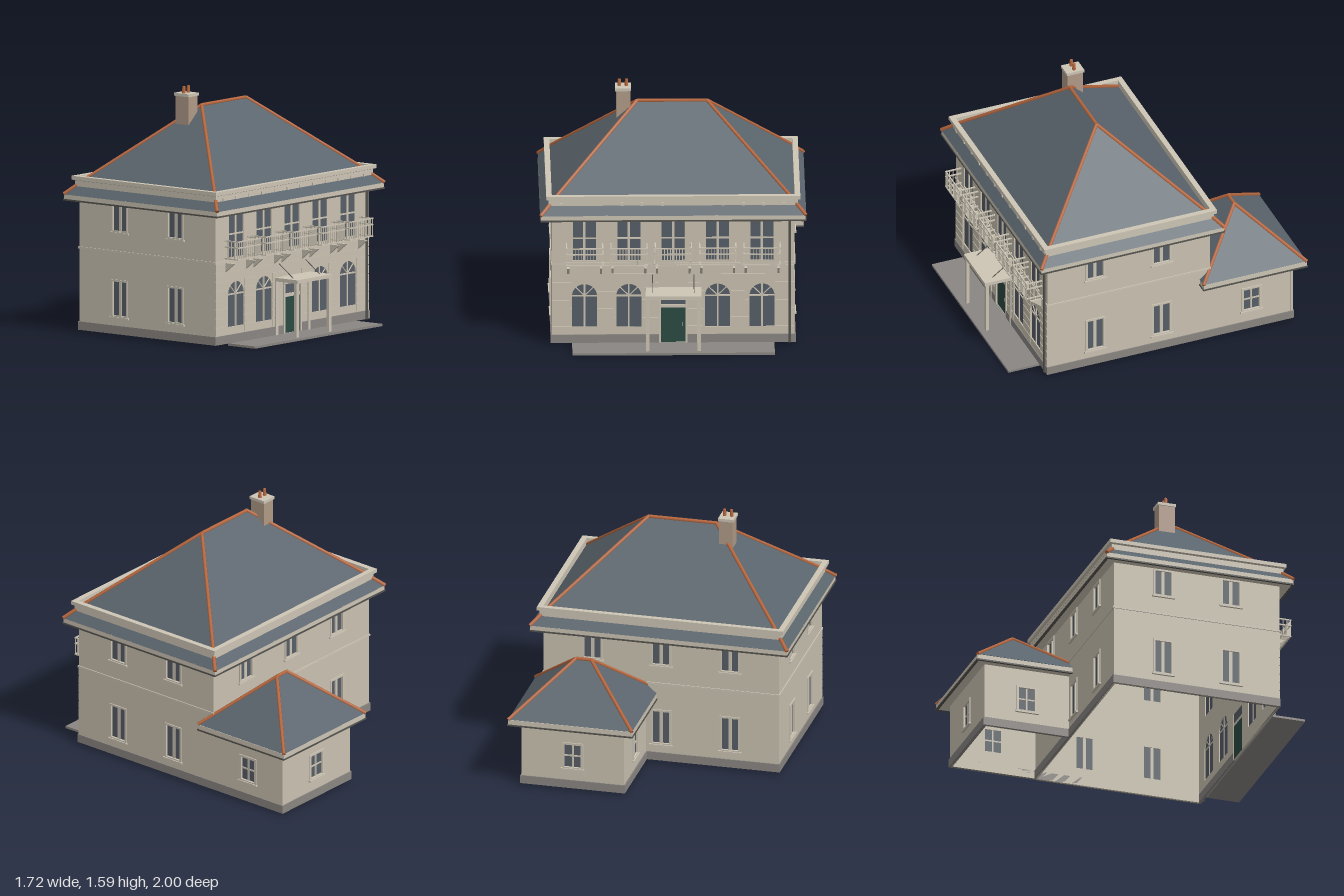
import * as THREE from 'three';

const mat = (name, color, side = THREE.FrontSide) => {
  const m = new THREE.MeshStandardMaterial({ color, side });
  m.name = name;
  return m;
};

export function createModel() {
  const wallM = mat('stucco', 0xcac2b1, THREE.DoubleSide);
  const trim = mat('cream trim', 0xcdc5b5, THREE.DoubleSide);
  const stone = mat('grey stone', 0x8a8682);
  const slate = mat('slate', 0x5b656d, THREE.DoubleSide);
  const clay = mat('terracotta', 0xb8683f);
  const glass = mat('glass', 0x575e67, THREE.DoubleSide);
  const green = mat('door green', 0x2b4a42);
  const brick = mat('chimney render', 0xb09a87);
  const metal = mat('dark metal', 0x55544f);

  const house = new THREE.Group();
  house.name = 'house';

  const add = (parent, name, geo, m, x = 0, y = 0, z = 0) => {
    const mesh = new THREE.Mesh(geo, m);
    mesh.name = name;
    mesh.position.set(x, y, z);
    parent.add(mesh);
    return mesh;
  };
  // box given by its limits
  const box = (parent, name, m, x0, x1, y0, y1, z0, z1) =>
    add(parent, name, new THREE.BoxGeometry(x1 - x0, y1 - y0, z1 - z0), m,
      (x0 + x1) / 2, (y0 + y1) / 2, (z0 + z1) / 2);
  // straight bar between two points
  const bar = (parent, name, m, a, b, r, sides = 6) => {
    const p = new THREE.Vector3(...a), q = new THREE.Vector3(...b), d = q.clone().sub(p);
    const mesh = add(parent, name, new THREE.CylinderGeometry(r, r, d.length(), sides), m);
    mesh.position.copy(p).add(q).multiplyScalar(0.5);
    mesh.quaternion.setFromUnitVectors(new THREE.Vector3(0, 1, 0), d.normalize());
  };
  const flatGeo = (pos) => {
    const g = new THREE.BufferGeometry();
    g.setAttribute('position', new THREE.Float32BufferAttribute(pos, 3));
    g.computeVertexNormals();
    return g;
  };
  // moulding: profile of [offset, y] carried round a rectangle
  const ring = (name, m, [x0, x1, z0, z1], profile) => {
    const corners = ([o, y]) => [[x0 - o, y, z1 + o], [x1 + o, y, z1 + o], [x1 + o, y, z0 - o], [x0 - o, y, z0 - o]];
    const pos = [];
    for (let i = 0; i < profile.length - 1; i++) {
      const a = corners(profile[i]), b = corners(profile[i + 1]);
      for (let k = 0; k < 4; k++) {
        const n = (k + 1) % 4;
        pos.push(...a[k], ...a[n], ...b[n], ...a[k], ...b[n], ...b[k]);
      }
    }
    add(house, name, flatGeo(pos), m);
  };
  // hipped roof with tiled ridge and hips
  const hipRoof = (name, [x0, x1, z0, z1], y, ridgeX0, ridgeX1, ridgeZ, top) => {
    const A = [x0, y, z1], B = [x1, y, z1], C = [x1, y, z0], D = [x0, y, z0];
    const P = [ridgeX0, top, ridgeZ], Q = [ridgeX1, top, ridgeZ];
    add(house, name, flatGeo([A, B, Q, A, Q, P, B, C, Q, C, D, P, C, P, Q, D, A, P].flat()), slate);
    for (const [a, b] of [[A, P], [D, P], [B, Q], [C, Q], [P, Q]]) bar(house, name + 'HipTile', clay, a, b, 0.012);
  };

  // outline of an opening, square or round-headed
  const outline = (Type, { u, y0, y1, w, arch }, grow = 0) => {
    const s = new Type(), h = w / 2 + grow;
    s.moveTo(u - h, y0 - grow);
    s.lineTo(u + h, y0 - grow);
    if (arch) {
      s.lineTo(u + h, y1 - w / 2);
      s.absarc(u, y1 - w / 2, h, 0, Math.PI, false);
    } else {
      s.lineTo(u + h, y1 + grow);
      s.lineTo(u - h, y1 + grow);
    }
    s.closePath();
    return s;
  };
  const extrude = (shape, depth) => new THREE.ExtrudeGeometry(shape, { depth, bevelEnabled: false, curveSegments: 12 });

  // glazing, bars, surround and sill of one opening
  const fillWindow = (g, o) => {
    const { u, y0, y1, w } = o;
    add(g, 'windowGlass', new THREE.ShapeGeometry(outline(THREE.Shape, o)), glass, 0, 0, -0.008);
    const mull = o.mullion ?? 0.016;
    box(g, 'windowMullion', trim, u - mull / 2, u + mull / 2, y0, y1, -0.011, -0.002);
    for (const t of o.transoms ?? []) box(g, 'windowTransom', trim, u - w / 2, u + w / 2, t - 0.005, t + 0.005, -0.011, -0.003);
    if (o.arch) {
      const c = y1 - w / 2;
      for (const a of [Math.PI / 4, Math.PI * 3 / 4])
        bar(g, 'fanlightBar', trim, [u, c, -0.006], [u + Math.cos(a) * w / 2, c + Math.sin(a) * w / 2, -0.006], 0.004);
    }
    if (o.surround) {
      const s = outline(THREE.Shape, o, o.surround);
      s.holes.push(outline(THREE.Path, o));
      add(g, 'windowSurround', extrude(s, 0.007), trim);
      box(g, 'windowSill', trim, u - w / 2 - 0.022, u + w / 2 + 0.022, y0 - 0.02, y0 - 0.008, 0, 0.014);
    }
  };

  // wall seen from outside: u runs right, outer face at local z = 0
  const wall = (name, x, z, turn, half, top, openings, plinth = [[-half - 0.006, half + 0.006]]) => {
    const g = new THREE.Group();
    g.name = name;
    g.position.set(x, 0, z);
    g.rotation.y = turn;
    house.add(g);
    const s = new THREE.Shape([[-half, 0.015], [half, 0.015], [half, top], [-half, top]].map(p => new THREE.Vector2(...p)));
    for (const o of openings) s.holes.push(outline(THREE.Path, o));
    add(g, name + 'Face', extrude(s, 0.014), wallM, 0, 0, -0.014);
    for (const [a, b] of plinth) box(g, 'plinth', stone, a, b, 0.015, 0.07, -0.014, 0.007);
    for (const o of openings) if (!o.door) fillWindow(g, o);
    return g;
  };

  const low = u => ({ u, y0: 0.135, y1: 0.355, w: 0.11, mullion: 0.022, surround: 0.013 });
  const high = u => ({ u, y0: 0.685, y1: 0.85, w: 0.11, mullion: 0.022, surround: 0.013 });
  const square = u => ({ u, y0: 0.16, y1: 0.315, w: 0.11, mullion: 0.012, transoms: [0.238], surround: 0.015 });
  const bays = [-0.57, -0.285, 0, 0.285, 0.57];
  const arches = bays.filter(u => u !== 0);

  // main block
  const BODY = [-0.78, 0.78, -0.345, 0.78], ZM = 0.2175, HZ = 0.5625;
  const front = wall('frontWall', 0, 0.78, 0, 0.78, 0.95, [
    ...bays.map(u => ({ u, y0: 0.57, y1: 0.855, w: 0.148, transoms: [0.72] })),
    ...arches.map(u => ({ u, y0: 0.12, y1: 0.41, w: 0.16, arch: true, mullion: 0.01, transoms: [0.33] })),
    { u: 0, y0: 0.016, y1: 0.335, w: 0.16, door: true },
  ], [[-0.786, -0.09], [0.09, 0.786]]);
  wall('backWall', 0, -0.345, Math.PI, 0.78, 0.95, [high(-0.455), high(0), high(0.455), low(0), low(0.455)]);
  wall('leftWall', 0.78, ZM, Math.PI / 2, HZ, 0.95, [-0.45, 0.01].flatMap(z => [low(z + ZM), high(z + ZM)]));
  wall('rightWall', -0.78, ZM, -Math.PI / 2, HZ, 0.95, [0.45, -0.01].flatMap(z => [low(z - ZM), high(z - ZM)]));
  ring('stringCourse', trim, BODY, [[0, 0.543], [0.006, 0.543], [0.006, 0.556], [0, 0.556]]);

  // shallow courses of blockwork on the lower front
  for (let i = 0; i < 8; i++) {
    const y = 0.073 + i * 0.059;
    const spans = y < 0.4
      ? [[-0.78, -0.655], [-0.485, -0.37], [-0.2, -0.095], [0.095, 0.2], [0.37, 0.485], [0.655, 0.78]]
      : [[-0.78, 0.78]];
    for (const [a, b] of spans) box(front, 'blockCourse', wallM, a, b, y, y + 0.053, 0, 0.004);
  }

  // door with fanlight
  box(front, 'door', green, -0.08, 0.08, 0.016, 0.25, -0.012, -0.003);
  box(front, 'doorTransom', trim, -0.08, 0.08, 0.25, 0.272, -0.012, 0.003);
  box(front, 'doorFanlight', glass, -0.08, 0.08, 0.272, 0.335, -0.012, -0.005);
  box(front, 'doorHandle', trim, 0.058, 0.064, 0.125, 0.15, -0.003, 0.006);
  for (const s of [-1, 1]) box(front, 'doorJamb', trim, s * 0.085 - 0.006, s * 0.085 + 0.006, 0.015, 0.347, 0, 0.009);
  box(front, 'doorHead', trim, -0.091, 0.091, 0.335, 0.347, 0, 0.01);

  // porch canopy on posts with tie rods
  box(house, 'canopy', trim, -0.18, 0.18, 0.365, 0.388, 0.78, 0.97);
  for (const s of [-1, 1]) {
    box(house, 'porchPost', trim, s * 0.165 - 0.011, s * 0.165 + 0.011, 0.015, 0.365, 0.94, 0.962);
    box(house, 'porchPilaster', trim, s * 0.165 - 0.011, s * 0.165 + 0.011, 0.015, 0.365, 0.78, 0.792);
    bar(house, 'canopyRod', metal, [s * 0.133, 0.388, 0.9], [s * 0.133, 0.475, 0.78], 0.003);
  }
  box(house, 'terrace', stone, -0.65, 0.65, 0, 0.015, 0.78, 1);

  // balconies with sloping brackets
  const bracket = extrude(new THREE.Shape([[0, 0.48], [0.075, 0.54], [0, 0.54]].map(p => new THREE.Vector2(...p))), 0.014);
  bracket.rotateY(-Math.PI / 2);
  for (const u of bays) {
    const g = new THREE.Group();
    g.name = 'balcony';
    g.position.set(u, 0, 0.78);
    house.add(g);
    for (const y of [0.57, 0.645, 0.685]) {
      box(g, 'frontRail', trim, -0.12, 0.12, y - 0.004, y + 0.004, 0.104, 0.112);
      for (const s of [-1, 1]) box(g, 'sideRail', trim, s * 0.116 - 0.004, s * 0.116 + 0.004, y - 0.004, y + 0.004, 0, 0.106);
    }
    for (let i = 0; i <= 12; i++) {
      const x = -0.116 + i * 0.232 / 12;
      box(g, 'baluster', trim, x - 0.0025, x + 0.0025, 0.57, 0.685, 0.105, 0.11);
    }
    for (const s of [-1, 1]) {
      for (const z of [0.03, 0.057, 0.084])
        box(g, 'sideBaluster', trim, s * 0.116 - 0.0025, s * 0.116 + 0.0025, 0.57, 0.685, z - 0.0025, z + 0.0025);
      add(g, 'balconyBracket', bracket, trim, s * 0.105 + 0.007, 0, 0);
    }
  }

  // eaves, skirt roof and parapet
  ring('eaves', trim, BODY, [[0, 0.866], [0.07, 0.866], [0.07, 0.897], [0.05, 0.897]]);
  ring('gutter', metal, BODY, [[0.06, 0.856], [0.075, 0.856], [0.075, 0.866], [0.06, 0.866]]);
  ring('skirtRoof', slate, BODY, [[0.072, 0.895], [0, 0.965]]);
  ring('parapet', trim, BODY, [[0, 0.948], [0.02, 0.948], [0.02, 0.985], [0.036, 0.99], [0.036, 1.015], [0, 1.015], [0, 0.965]]);
  for (let x = -0.72; x < 0.73; x += 0.13) box(house, 'parapetDentil', trim, x - 0.01, x + 0.01, 0.948, 0.968, 0.8, 0.806);
  for (const [x, s] of [[0.78, 1], [-0.78, -1]])
    for (const [z, t] of [[0.78, 1], [-0.345, -1]])
      bar(house, 'skirtHipTile', clay, [x + s * 0.072, 0.897, z + t * 0.072], [x + s * 0.01, 0.957, z + t * 0.01], 0.013);
  hipRoof('mainRoof', BODY, 0.97, -0.225, 0.225, 0.215, 1.463);

  // rear annex
  const ANNEX = [0.1, 0.78, -0.92, -0.345];
  wall('annexBackWall', 0.44, -0.92, Math.PI, 0.34, 0.47, [square(0)]);
  wall('annexLeftWall', 0.779, -0.6325, Math.PI / 2, 0.2875, 0.47, [square(0)]);
  wall('annexRightWall', 0.1, -0.6325, -Math.PI / 2, 0.2875, 0.47, [square(0)]);
  ring('annexEaves', trim, ANNEX, [[0, 0.445], [0.07, 0.445], [0.07, 0.476], [0.05, 0.476]]);
  ring('annexGutter', metal, ANNEX, [[0.06, 0.435], [0.075, 0.435], [0.075, 0.445], [0.06, 0.445]]);
  hipRoof('annexRoof', [0.03, 0.85, -0.99, -0.273], 0.478, 0.39, 0.49, -0.632, 0.795);

  // chimney with two pots
  box(house, 'chimney', brick, -0.358, -0.268, 1.15, 1.53, 0.107, 0.215);
  box(house, 'chimneyCap', trim, -0.365, -0.262, 1.528, 1.547, 0.1, 0.222);
  for (const x of [-0.338, -0.292])
    add(house, 'chimneyPot', new THREE.CylinderGeometry(0.01, 0.012, 0.045, 12), clay, x, 1.569, 0.16);

  // downpipe
  bar(house, 'downpipe', metal, [0.747, 0.015, 0.79], [0.747, 0.87, 0.79], 0.008, 10);

  return house;
}
